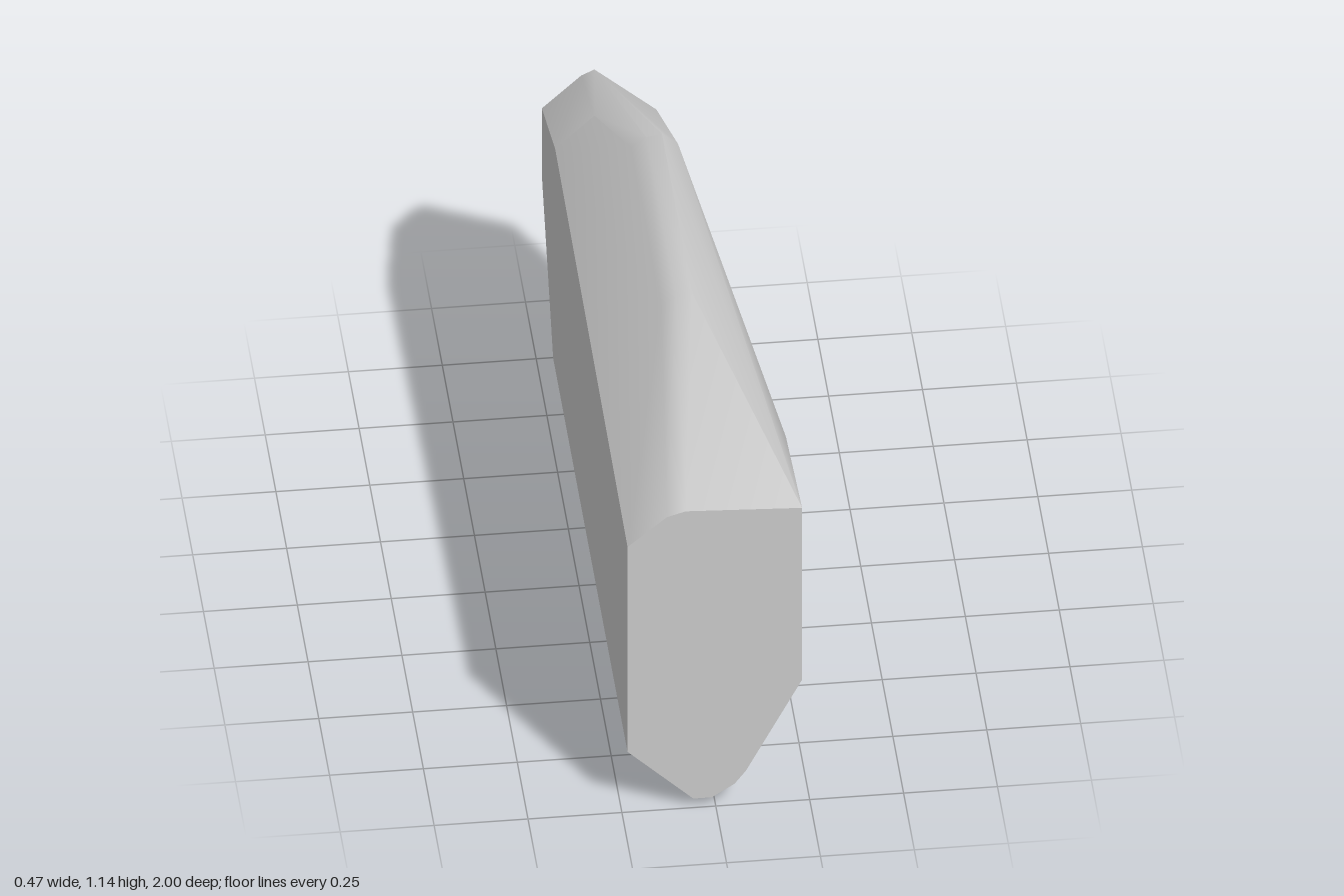
import * as THREE from 'three';
import { ConvexGeometry } from 'three/addons/geometries/ConvexGeometry.js';
import { toCreasedNormals } from 'three/addons/utils/BufferGeometryUtils.js';

// Faceted block described by the corners of its cross-sections, front to back.
// Each section has a depth z and a loop of [x, y] corners.
const sections = [
  // flat front face
  { z: 1, loop: [[-0.235, 0.2], [-0.235, 0.88], [-0.13, 0.97], [-0.08, 0.985], [0.23, 0.97],
    [0.23, 0.4], [0.08, 0.11], [0.05, 0.07], [-0.01, 0.03], [-0.06, 0.03]] },
  // start of the rounded keel and lower bevel
  { z: 0.78, loop: [[0.23, 0.4], [0.11, 0.08], [0.05, 0.02], [-0.01, 0], [-0.06, 0.028]] },
  { z: 0.62, loop: [[0.23, 0.92]] },
  // front end of the top ridge
  { z: 0.25, loop: [[-0.06, 1.1], [-0.02, 1.13], [0.022, 1.138]] },
  // rear end of the top ridge
  { z: -0.45, loop: [[-0.06, 1.1], [-0.02, 1.13], [0.022, 1.138], [0.065, 1.1]] },
  { z: -0.69, loop: [[-0.235, 0.93], [-0.13, 1.03]] },
  // rear end of the keel
  { z: -0.735, loop: [[-0.235, 0.2], [-0.06, 0.028], [-0.01, 0], [0.05, 0.02], [0.11, 0.08], [0.137, 0.64]] },
  // small flat back face
  { z: -1, loop: [[-0.235, 0.61], [-0.235, 0.83], [-0.13, 0.93], [-0.095, 0.947], [0.07, 0.8], [0.07, 0.61]] },
];

export function createModel() {
  const grey = new THREE.MeshStandardMaterial({ color: 0xcccccc });
  grey.name = 'stone grey';

  const points = sections.flatMap(({ z, loop }) => loop.map(([x, y]) => new THREE.Vector3(x, y, z)));
  // soft shading over the rounded ridges, sharp at the main facets
  const geometry = toCreasedNormals(new ConvexGeometry(points), THREE.MathUtils.degToRad(30));

  const block = new THREE.Mesh(geometry, grey);
  block.name = 'facetedBlock';

  const group = new THREE.Group();
  group.name = 'facetedStone';
  group.add(block);
  return group;
}
